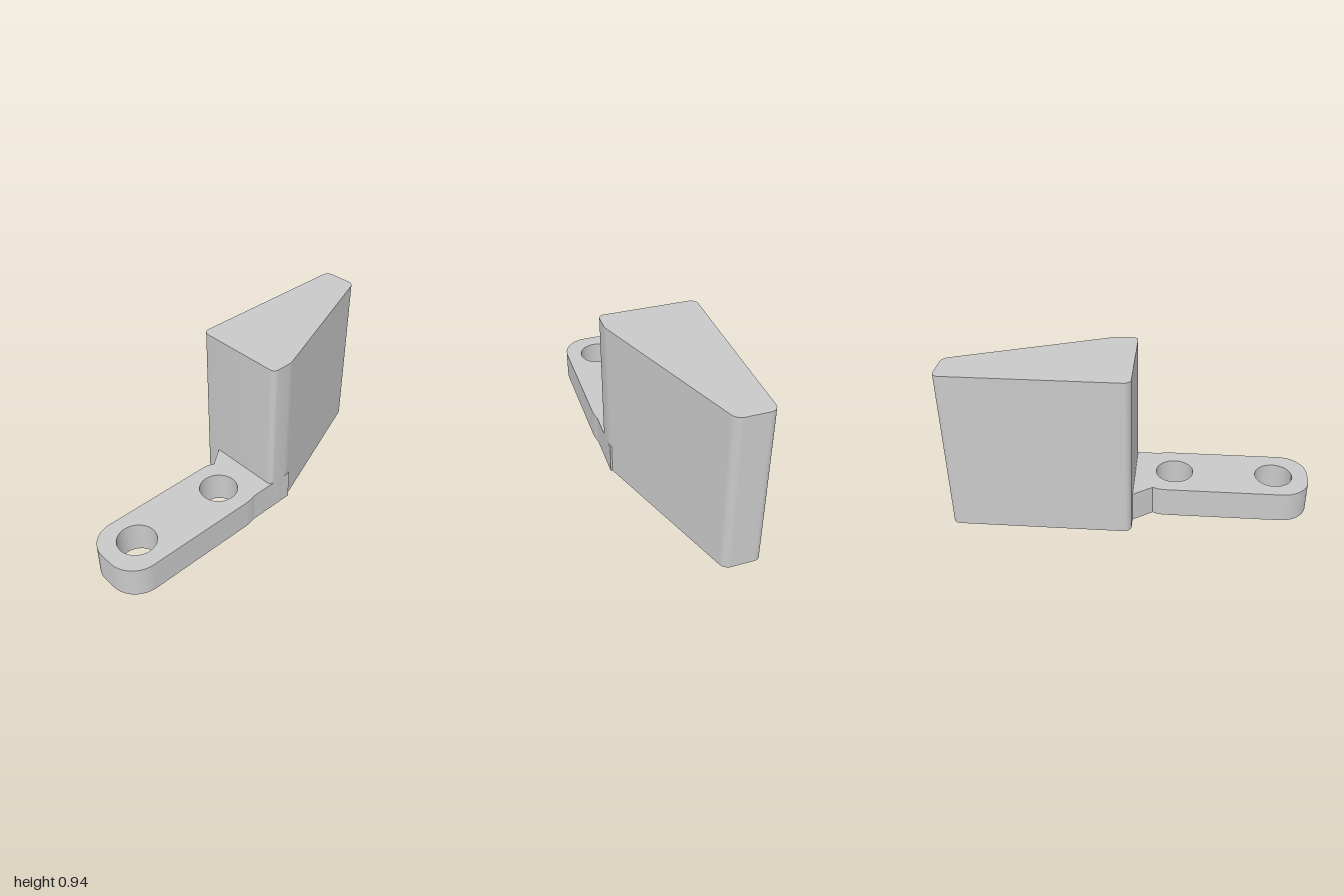
import * as THREE from 'three';
import { toCreasedNormals } from 'three/addons/utils/BufferGeometryUtils.js';

// Closed plan outline from [x, z, setback] corners; setback rounds the corner.
function roundedOutline(corners) {
  const pts = corners.map(([x, z]) => new THREE.Vector2(x, -z));
  const shape = new THREE.Shape();
  corners.forEach(([, , r = 0], i) => {
    const p = pts[i];
    const toward = (q, d) => p.clone().add(q.clone().sub(p).setLength(d));
    const prev = pts[(i + pts.length - 1) % pts.length];
    const next = pts[(i + 1) % pts.length];
    const a = toward(prev, r), b = toward(next, r);
    if (i === 0) shape.moveTo(a.x, a.y);
    else shape.lineTo(a.x, a.y);
    if (r > 0) {
      const c = toward(prev, r * 0.45), d = toward(next, r * 0.45);
      shape.bezierCurveTo(c.x, c.y, d.x, d.y, b.x, b.y);
    }
  });
  shape.closePath();
  return shape;
}

// Extrudes a plan outline upward from the ground.
function upright(name, shape, height, material) {
  const geo = new THREE.ExtrudeGeometry(shape, { depth: height, bevelEnabled: false, curveSegments: 28 });
  geo.rotateX(-Math.PI / 2);
  const mesh = new THREE.Mesh(toCreasedNormals(geo, 0.18), material);
  mesh.name = name;
  return mesh;
}

export function createModel() {
  const model = new THREE.Group();
  model.name = 'mountingBracket';
  const grey = new THREE.MeshStandardMaterial({ color: 0xc9c9c9 });
  grey.name = 'plain grey';

  // Tall wedge block, tapering toward its right end
  const block = roundedOutline([
    [-0.01, -0.273, 0.04],
    [1, -0.273, 0.04],
    [1, -0.072, 0.035],
    [0.112, 0.262, 0.02],
    [-0.01, 0.262, 0.03],
  ]);
  model.add(upright('wedgeBlock', block, 0.935, grey));

  // Low mounting arm with a gusset at the back and a tab under the block
  const arm = roundedOutline([
    [-1, -0.107, 0.155],
    [-0.14, -0.107, 0.045],
    [-0.118, -0.09],
    [-0.01, -0.165],
    [0.06, -0.165],
    [0.14, 0.22],
    [0.14, 0.262],
    [-0.135, 0.262],
    [-0.18, 0.273, 0.03],
    [-1, 0.273, 0.155],
  ]);
  // Screw holes, wound against the clockwise outline so their walls face inward
  for (const x of [-0.805, -0.236]) {
    const hole = new THREE.Path();
    hole.absarc(x, -0.08, 0.106, 0, Math.PI * 2, false);
    arm.holes.push(hole);
  }
  model.add(upright('mountingArm', arm, 0.177, grey));

  return model;
}
